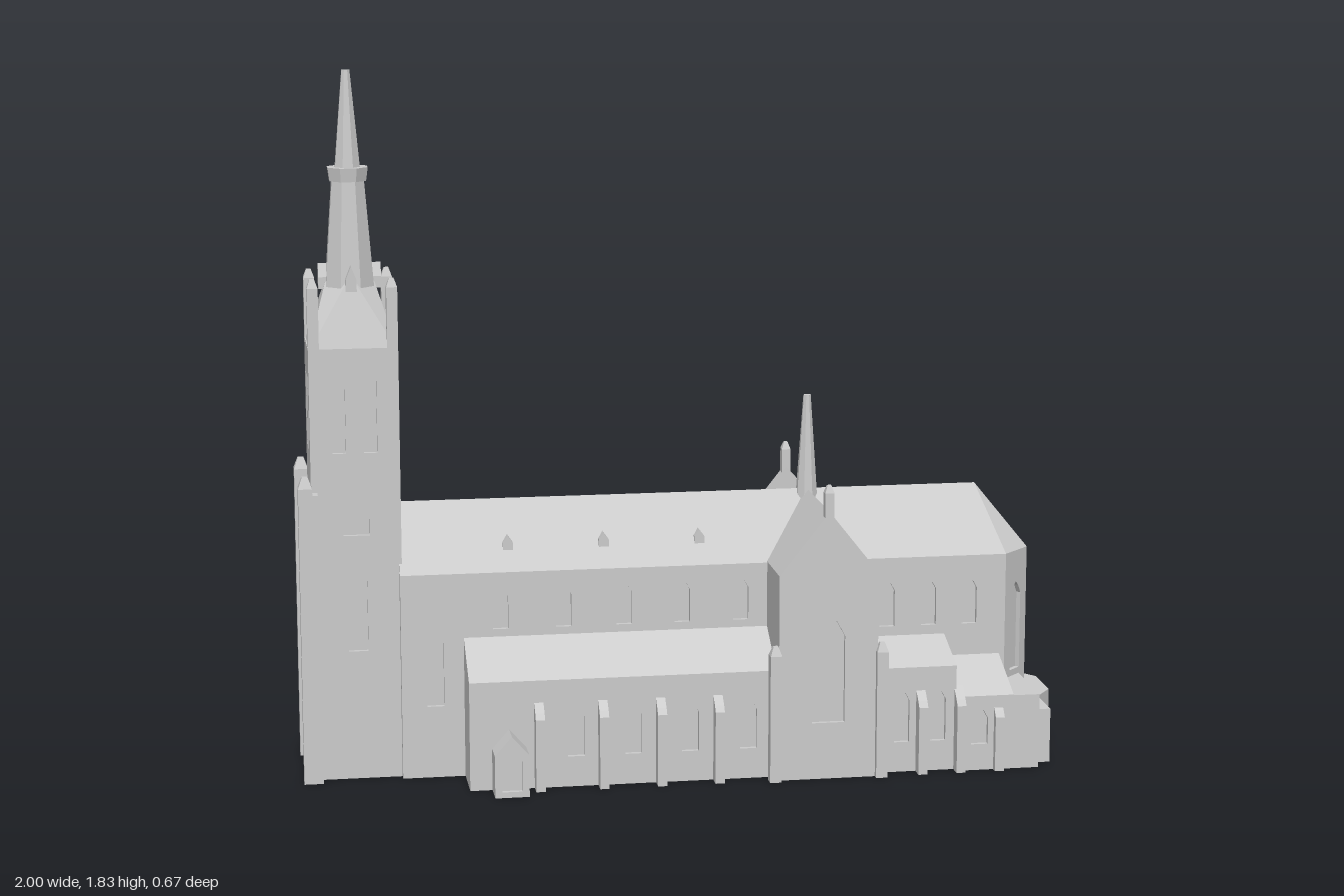
import * as THREE from 'three';
import { ConvexGeometry } from 'three/addons/geometries/ConvexGeometry.js';

const D = 0.012;   // depth of the window recesses
const CZ = -0.008; // z of the building's long axis

export function createModel() {
  const model = new THREE.Group();
  model.name = 'church';
  const stone = new THREE.MeshStandardMaterial({ color: 0xcccccc, flatShading: true });
  stone.name = 'grey stone';

  const add = (name, geo, x = 0, y = 0, z = 0) => {
    const mesh = new THREE.Mesh(geo, stone);
    mesh.name = name;
    mesh.position.set(x, y, z + CZ);
    model.add(mesh);
    return mesh;
  };
  const polygon = pts => new THREE.Shape(pts.map(p => new THREE.Vector2(p[0], p[1])));
  const extrude = (shape, depth) => new THREE.ExtrudeGeometry(shape, { depth, bevelEnabled: false });
  const hull = (name, pts) => add(name, new ConvexGeometry(pts.map(p => new THREE.Vector3(...p))));
  const box = (name, x0, x1, y0, y1, z0, z1) =>
    add(name, new THREE.BoxGeometry(x1 - x0, y1 - y0, z1 - z0), (x0 + x1) / 2, (y0 + y1) / 2, (z0 + z1) / 2);

  // (z, y) cross-section swept along x
  const alongX = (name, pts, x0, x1) =>
    add(name, extrude(polygon(pts), x1 - x0).rotateY(-Math.PI / 2), x1);
  // (x, y) cross-section swept along z
  const alongZ = (name, pts, z0, z1) => add(name, extrude(polygon(pts), z1 - z0), 0, 0, z0);
  // (x, z) plan raised to a height
  const plan = (name, pts, h) => hull(name, pts.flatMap(([x, z]) => [[x, 0, z], [x, h, z]]));

  // pointed window opening: centre, sill, tip, half width
  const lancet = ([u, y0, y1, w]) => new THREE.Path([
    [u - w, y0], [u - w, y1 - 1.4 * w], [u - 0.5 * w, y1 - 0.5 * w], [u, y1],
    [u + 0.5 * w, y1 - 0.5 * w], [u + w, y1 - 1.4 * w], [u + w, y0],
  ].map(p => new THREE.Vector2(...p)));

  // wall panel from a to b with window openings, outer face on the line a-b
  const panel = (name, [ax, az], [bx, bz], h, windows, peak) => {
    const len = Math.hypot(bx - ax, bz - az);
    const pts = [[0, 0], [len, 0], [len, h]];
    if (peak) pts.push([len / 2, peak]);
    pts.push([0, h]);
    const shape = polygon(pts);
    shape.holes.push(...windows.map(lancet));
    const nx = -(bz - az) / len, nz = (bx - ax) / len;
    const mesh = add(name, extrude(shape, D), ax - nx * D, 0, az - nz * D);
    mesh.rotation.y = Math.atan2(az - bz, bx - ax);
  };
  // wall parallel to x on side s, windows given in world x
  const sideWall = (name, s, x0, x1, z, h, windows, peak) => s > 0
    ? panel(name, [x0, z], [x1, z], h, windows.map(([x, ...r]) => [x - x0, ...r]), peak)
    : panel(name, [x1, -z], [x0, -z], h, windows.map(([x, ...r]) => [x1 - x, ...r]), peak);

  // tapering polygonal shaft with flat sides facing the axes
  const shaft = (name, x, z, r0, r1, y0, y1, n = 8) =>
    add(name, new THREE.CylinderGeometry(r1, r0, y1 - y0, n).rotateY(Math.PI / n), x, (y0 + y1) / 2, z);
  // square post with a pointed cap
  const post = (name, x, z, w, y0, y1) => {
    const h = w / 2, yc = y1 - w * 0.8;
    box(name, x - h, x + h, y0, yc, z - h, z + h);
    shaft(name + 'Cap', x, z, w * 0.707, w * 0.3, yc, y1, 4);
  };
  // wall buttress with sloping top
  const buttress = (x, s, z0, z1, h) => alongX('buttress',
    [[s * z0, 0], [s * z1, 0], [s * z1, h - 0.045], [s * (z1 - 0.012), h - 0.03], [s * z0, h]], x - 0.012, x + 0.012);

  // ---- tower ----
  const TX = -0.852, T = 0.114, TH = 1.13;
  box('towerCore', TX - T + D, TX + T - D, 0, TH, -T + D, T - D);
  const belfry = [[T - 0.04, 0.86, 1.07, 0.017], [T + 0.04, 0.86, 1.07, 0.017]];
  const shaftWindows = [[T, 0.34, 0.56, 0.025], [T, 0.645, 0.765, 0.034], ...belfry];
  const corners = [[TX - T, T], [TX + T, T], [TX + T, -T], [TX - T, -T]];
  corners.forEach((c, i) => panel('towerWall', c, corners[(i + 1) % 4], TH, i === 1 ? belfry : shaftWindows));

  // broached base of the spire
  const broach = [];
  for (const a of [-1, 1]) {
    for (const b of [-1, 1]) {
      broach.push([TX + a * T, TH - 0.01, b * T], [TX + a * 0.098, TH + 0.005, b * 0.098]);
      post('towerPinnacle', TX + a * 0.1, b * 0.1, 0.028, 1.1, 1.307);
    }
    broach.push([TX + a * 0.056, 1.31, 0], [TX, 1.31, a * 0.056]);
  }
  hull('spireBroach', broach);
  shaft('lowerSpire', TX, 0, 0.078, 0.044, 1.13, 1.55);
  shaft('spireCollar', TX, 0, 0.05, 0.055, 1.545, 1.58);
  shaft('upperSpire', TX, 0, 0.034, 0.011, 1.58, 1.825);

  // small dormers around the spire
  const gablet = (x, w, y0, y1, y2) => [[x - w, y0], [x + w, y0], [x + w, y1], [x, y2], [x - w, y1]];
  alongX('spireDormer', gablet(0, 0.014, 1.27, 1.3, 1.335), TX - 0.08, TX + 0.08);
  alongZ('spireDormer', gablet(TX, 0.014, 1.27, 1.3, 1.335), -0.08, 0.08);

  // west buttresses and portal
  for (const s of [-1, 1]) {
    post('towerButtress', -0.982, s * 0.131, 0.036, 0, 0.806);
    box('buttressLink', -0.98, -0.95, 0, 0.76, s * 0.131 - 0.018, s * 0.131 + 0.018);
  }
  alongX('westPortalCore', gablet(0, 0.065, 0, 0.13, 0.25), -0.99 + D, -0.95);
  panel('westPortalFront', [-0.992, -0.065], [-0.992, 0.065], 0.13, [[0.065, 0.02, 0.18, 0.035]], 0.25);

  // ---- nave, choir and apse ----
  const W = 0.136, NX = -0.745, EAVE = 0.54, RIDGE = 0.707;
  const apseEnd = 0.932, apseZ = 0.06, apseX = 0.855;
  plan('naveCore', [[NX, W - D], [NX, -W + D], [apseX - 0.005, W - D], [apseX - 0.005, -W + D],
    [apseEnd - D, apseZ - 0.005], [apseEnd - D, -apseZ + 0.005]], EAVE);
  const roof = [[NX, RIDGE, 0], [0.8, RIDGE, 0]];
  for (const s of [-1, 1])
    roof.push([NX, EAVE, s * W], [apseX, EAVE, s * W], [apseEnd, EAVE, s * apseZ]);
  hull('naveRoof', roof);
  const clerestory = [-0.487, -0.323, -0.165, -0.012, 0.143].map(x => [x, 0.39, 0.505, 0.02]);
  const choirWindows = [0.535, 0.647, 0.757].map(x => [x, 0.355, 0.48, 0.02]);
  const apseWindow = len => [[len / 2, 0.215, 0.455, 0.025]];
  const slant = Math.hypot(apseEnd - apseX, W - apseZ);
  panel('apseWall', [apseX, W], [apseEnd, apseZ], EAVE, apseWindow(slant));
  panel('apseWall', [apseEnd, apseZ], [apseEnd, -apseZ], EAVE, apseWindow(2 * apseZ));
  panel('apseWall', [apseEnd, -apseZ], [apseX, -W], EAVE, apseWindow(slant));

  // lean-to aisle with windows
  const aisle = (s, x0, x1, z, eave, top, windows) => {
    alongX('aisleBody', [[s * 0.1, 0], [s * (z - D), 0], [s * (z - D), eave], [s * z, eave],
      [s * W, top], [s * 0.1, top]], x0, x1);
    sideWall('aisleWall', s, x0, x1, z, eave, windows);
  };

  for (const s of [-1, 1]) {
    const westWindow = s > 0 ? [[-0.657, 0.19, 0.39, 0.022]] : [];
    sideWall('naveWall', s, NX, apseX, W, EAVE, [...westWindow, ...clerestory, ...choirWindows]);
    aisle(s, s > 0 ? -0.583 : NX, 0.22, 0.27, 0.285, 0.37,
      [-0.308, -0.16, -0.012, 0.14].map(x => [x, 0.08, 0.215, 0.022]));
    aisle(s, 0.46, 0.69, 0.278, 0.28, 0.33, [0.545, 0.642].map(x => [x, 0.08, 0.22, 0.02]));
    aisle(s, 0.69, 0.84, 0.295, 0.2, 0.27, [[0.75, 0.07, 0.17, 0.022]]);
    for (const x of [-0.405, -0.24, -0.09, 0.06]) buttress(x, s, 0.26, 0.307, 0.235);
    for (const x of [0.595, 0.697, 0.8]) buttress(x, s, 0.27, 0.314, x < 0.75 ? 0.225 : 0.19);
    if (s < 0) buttress(-0.585, s, 0.26, 0.307, 0.235);

    // side porch
    const pz = 0.334 - s * CZ, px = -0.482, pw = 0.044;
    alongZ('porchBody', gablet(px, pw, 0, 0.11, 0.16), Math.min(s * 0.25, s * (pz - D)), Math.max(s * 0.25, s * (pz - D)));
    sideWall('porchFront', s, px - pw, px + pw, pz, 0.11, [[px, 0.0 + 0.015, 0.13, 0.026]], 0.16);

    // dormers on the nave roof
    for (const x of [-0.462, -0.212, 0.04])
      alongZ('roofDormer', gablet(x, 0.013, 0.58, 0.608, 0.625), s > 0 ? 0.06 : -0.096, s > 0 ? 0.096 : -0.06);
  }

  // ---- transept ----
  const X0 = 0.213, X1 = 0.473, XC = 0.343, TZ = 0.307;
  alongZ('transeptBody', gablet(XC, (X1 - X0) / 2, 0, 0.543, RIDGE), -TZ + D, TZ - D);
  for (const s of [-1, 1]) {
    sideWall('transeptGable', s, X0, X1, TZ, 0.543, [[XC, 0.15, 0.44, 0.043]], RIDGE);
    post('gablePinnacle', XC, s * 0.293, 0.024, 0.66, 0.775);
    for (const x of [0.203, 0.483]) post('transeptButtress', x, s * 0.309, 0.03, 0, 0.36);
  }
  shaft('crossingSpire', XC, 0, 0.031, 0.01, 0.66, 0.958);

  // ---- low chapels around the apse ----
  plan('upperTerrace', [[0.83, -0.295], [0.83, 0.295], [0.91, 0.295], [0.91, -0.295]], 0.198);
  plan('lowerTerrace', [[0.85, -0.253], [0.85, 0.253], [0.952, 0.253], [0.952, -0.253]], 0.145);
  plan('eastChapel', [[0.93, -0.13], [0.93, 0.13], [0.952, 0.13], [0.952, -0.13], [1, 0.065], [1, -0.065]], 0.145);

  return model;
}
